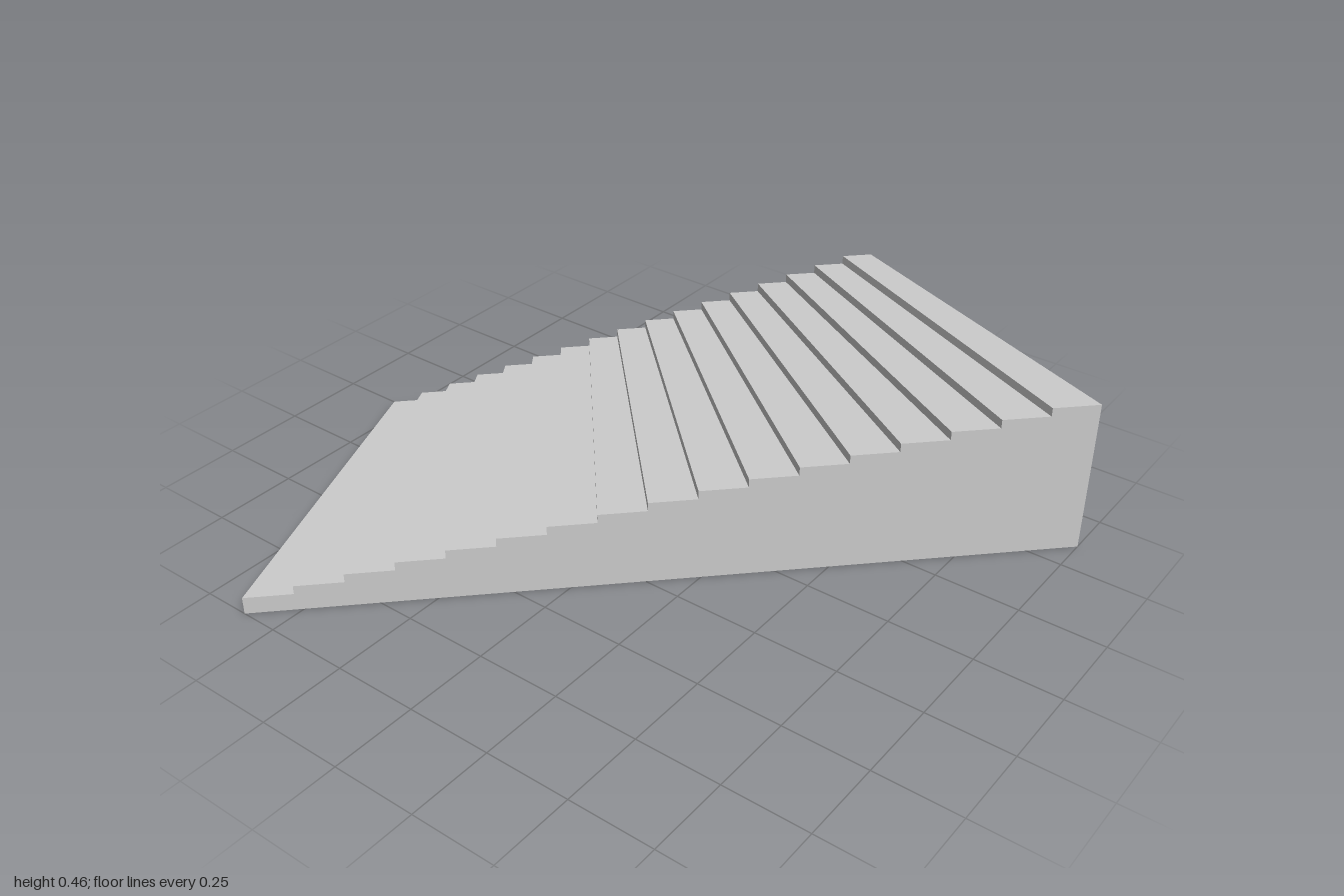
import * as THREE from 'three';

const STEPS = 17;
const HEIGHT = 0.462;
const RISE = HEIGHT / (STEPS + 1); // the first riser is two rises tall

// Winding stair: treads fan between a long right edge and a shorter left edge
const rightEdge = [new THREE.Vector3(-1, 0, -0.61), new THREE.Vector3(0.605, 0, 1)];
const leftEdge = [new THREE.Vector3(-0.056, 0, -1), new THREE.Vector3(1, 0, 0.054)];

// Point on an edge at step line i, raised to height y
const at = ([start, end], i, y) => start.clone().lerp(end, i / STEPS).setY(y);

// Flat-faced mesh from four-cornered faces, corners counter-clockwise from outside
function quadMesh(name, quads, material) {
  const points = quads.flatMap(([a, b, c, d]) => [a, b, c, a, c, d]);
  const geometry = new THREE.BufferGeometry().setFromPoints(points);
  geometry.computeVertexNormals();
  const mesh = new THREE.Mesh(geometry, material);
  mesh.name = name;
  return mesh;
}

export function createModel() {
  const material = new THREE.MeshStandardMaterial({ color: 0xcccccc, flatShading: true });
  const R = rightEdge, L = leftEdge;
  const treads = [], risers = [], rightWall = [], leftWall = [];

  for (let i = 0; i < STEPS; i++) {
    const low = i === 0 ? 0 : (i + 1) * RISE;
    const top = (i + 2) * RISE;
    const j = i + 1;
    treads.push([at(R, i, top), at(R, j, top), at(L, j, top), at(L, i, top)]);
    risers.push([at(R, i, low), at(R, i, top), at(L, i, top), at(L, i, low)]);
    rightWall.push([at(R, i, 0), at(R, j, 0), at(R, j, top), at(R, i, top)]);
    leftWall.push([at(L, j, 0), at(L, i, 0), at(L, i, top), at(L, j, top)]);
  }

  // Tall end under the top step, and the flat base
  const endWall = [[at(R, STEPS, 0), at(L, STEPS, 0), at(L, STEPS, HEIGHT), at(R, STEPS, HEIGHT)]];
  const base = [[at(R, 0, 0), at(L, 0, 0), at(L, STEPS, 0), at(R, STEPS, 0)]];

  const group = new THREE.Group();
  group.name = 'stairs';
  const parts = { treads, risers, rightWall, leftWall, endWall, base };
  for (const [name, quads] of Object.entries(parts)) group.add(quadMesh(name, quads, material));
  return group;
}
